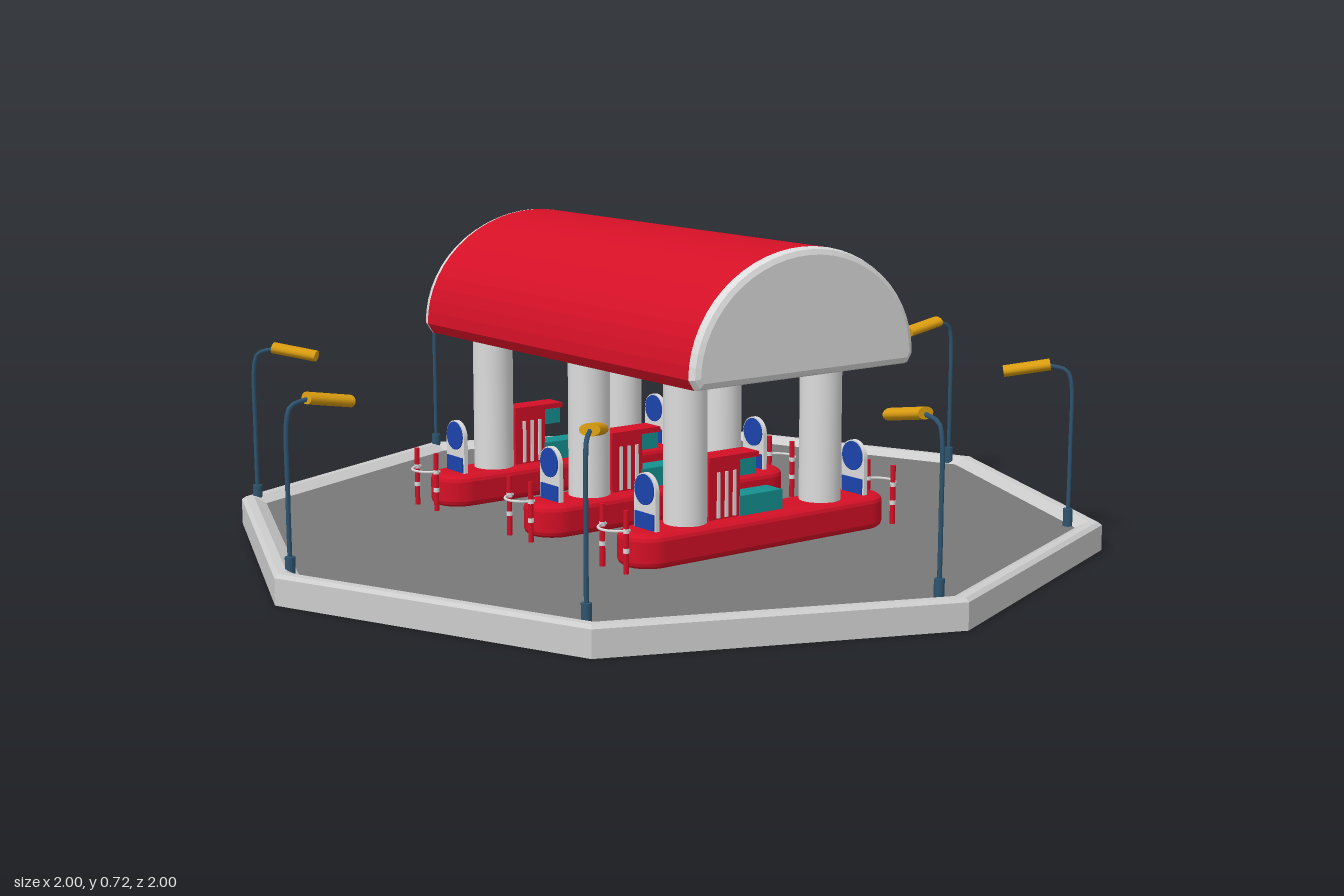
import * as THREE from 'three';

const mat = (name, color, side = THREE.FrontSide) => {
  const m = new THREE.MeshStandardMaterial({ color, side });
  m.name = name;
  return m;
};

export function createModel() {
  const red = mat('red', 0xd41026);
  const white = mat('offWhite', 0xdcdcdc);
  const concrete = mat('concrete', 0xcccccc);
  const asphalt = mat('asphalt', 0x787878, THREE.DoubleSide);
  const gold = mat('gold', 0xd99c10);
  const steel = mat('steelBlue', 0x2f5570);
  const blue = mat('blue', 0x1c44ac);
  const teal = mat('teal', 0x159090);

  const model = new THREE.Group();
  const add = (parent, name, geo, material, x = 0, y = 0, z = 0) => {
    const mesh = new THREE.Mesh(geo, material);
    mesh.name = name;
    mesh.position.set(x, y, z);
    parent.add(mesh);
    return mesh;
  };
  const group = (name, x = 0, y = 0, z = 0) => {
    const g = new THREE.Group();
    g.name = name;
    g.position.set(x, y, z);
    model.add(g);
    return g;
  };
  const box = (w, h, d) => new THREE.BoxGeometry(w, h, d);
  const cyl = (r, h, n = 16) => new THREE.CylinderGeometry(r, r, h, n);

  // Octagonal forecourt: kerb ring with a thin floor inside
  const kerbProfile = [[0.94, 0], [1, 0], [1, 0.058], [0.99, 0.065], [0.97, 0.065], [0.94, 0.05], [0.94, 0]]
    .map(([r, y]) => new THREE.Vector2(r, y));
  const kerb = new THREE.LatheGeometry(kerbProfile, 8).toNonIndexed();
  kerb.computeVertexNormals();
  add(model, 'kerb', kerb, concrete);
  add(model, 'floor', new THREE.CircleGeometry(0.945, 8).rotateX(-Math.PI / 2), asphalt, 0, 0.05, 0);

  // Vaulted roof with bevelled end caps
  const vault = new THREE.Shape();
  vault.moveTo(-0.29, 0.442);
  vault.lineTo(0.29, 0.442);
  vault.lineTo(0.305, 0.465);
  for (let i = 1; i <= 28; i++) {
    const a = (i / 28) * Math.PI;
    vault.lineTo(0.305 * Math.cos(a), 0.465 + 0.253 * Math.sin(a));
  }
  vault.closePath();
  const roof = group('roof', -0.005, 0, -0.005);
  add(roof, 'roofVault', new THREE.ExtrudeGeometry(vault, { depth: 1, bevelEnabled: false }), red, 0, 0, -0.5);
  const capGeo = new THREE.ExtrudeGeometry(vault, {
    depth: 0.004, bevelThickness: 0.018, bevelSize: 0.016, bevelOffset: -0.016, bevelSegments: 2,
  });
  for (const s of [-1, 1]) add(roof, 'roofEndCap', capGeo, white, 0, 0, s * 0.502 - 0.002);

  // Island outline: a bar with round ends
  const stadium = new THREE.Shape();
  stadium.absarc(0.28, 0, 0.065, -Math.PI / 2, Math.PI / 2, false);
  stadium.absarc(-0.3, 0, 0.065, Math.PI / 2, Math.PI * 1.5, false);
  stadium.closePath();
  const islandGeo = new THREE.ExtrudeGeometry(stadium, {
    depth: 0.046, bevelThickness: 0.015, bevelSize: 0.02, bevelOffset: -0.02, bevelSegments: 3, curveSegments: 16,
  }).rotateX(-Math.PI / 2);

  // Arched sign board, thin along x
  const arch = new THREE.Shape();
  arch.moveTo(-0.038, 0);
  arch.lineTo(0.038, 0);
  arch.absarc(0, 0.085, 0.038, 0, Math.PI, false);
  arch.closePath();
  const boardGeo = new THREE.ExtrudeGeometry(arch, { depth: 0.01, bevelEnabled: false })
    .translate(0, 0, -0.005).rotateY(Math.PI / 2);
  const discGeo = cyl(0.033, 0.016, 24).rotateZ(Math.PI / 2);

  // Half-ring guard rail bulging to +x
  const railGeo = new THREE.TorusGeometry(0.042, 0.003, 6, 16, Math.PI).rotateX(Math.PI / 2).rotateY(Math.PI / 2);

  for (const z of [0.345, -0.006, -0.395]) {
    const g = group('pumpIsland', 0, 0, z);
    add(g, 'islandBase', islandGeo, red, 0, 0.0655, 0);
    for (const x of [-0.2, 0.18]) add(g, 'column', cyl(0.047, 0.345, 28), white, x, 0.28, 0);

    // Dispenser cabinet with ribs, counter and screen
    add(g, 'dispenserCabinet', box(0.085, 0.13, 0.05), red, -0.112, 0.188, 0);
    for (let i = 0; i < 3; i++) {
      for (const s of [-1, 1]) add(g, 'cabinetGroove', box(0.008, 0.1, 0.004), white, -0.13 + i * 0.022, 0.18, s * 0.026);
    }
    add(g, 'cabinetTop', box(0.135, 0.012, 0.056), red, -0.088, 0.258, 0);
    add(g, 'screen', box(0.045, 0.036, 0.05), teal, -0.048, 0.233, 0);
    add(g, 'counter', box(0.12, 0.045, 0.055), teal, -0.012, 0.148, 0);

    for (const s of [-1, 1]) {
      // Sign board with blue painted disc and base panel
      const sx = s < 0 ? -0.303 : 0.283;
      add(g, 'signBoard', boardGeo, white, sx, 0.125, 0);
      add(g, 'signDisc', discGeo, blue, sx, 0.212, 0);
      add(g, 'signPanel', box(0.016, 0.035, 0.066), blue, sx, 0.145, 0);

      // Guard rail on two posts
      const px = s < 0 ? -0.388 : 0.363;
      const rail = add(g, 'guardRail', railGeo, white, px + s * -0.01, 0.142, 0);
      if (s < 0) rail.rotation.y = Math.PI;
      for (const k of [-1, 1]) {
        add(g, 'guardPost', cyl(0.006, 0.135, 8), red, px, 0.118, k * 0.042);
        for (const y of [0.1, 0.142]) add(g, 'postBand', cyl(0.0068, 0.01, 8), white, px, y, k * 0.042);
      }
    }
  }

  // Street lamps on the eight corners, each reaching toward the centre (-x before turning)
  const armCurve = new THREE.CatmullRomCurve3([
    [0, 0.06, 0], [0.001, 0.22, 0], [-0.002, 0.385, 0], [-0.012, 0.406, 0], [-0.06, 0.418, 0],
  ].map((p) => new THREE.Vector3(...p)), false, 'centripetal');
  const armGeo = new THREE.TubeGeometry(armCurve, 28, 0.005, 6);
  const headGeo = cyl(0.021, 0.105, 14).rotateZ(Math.PI / 2).scale(1, 0.62, 1);
  for (let i = 0; i < 8; i++) {
    const a = (i * Math.PI) / 4;
    const lamp = group('streetLamp', 0.945 * Math.cos(a) - 0.003, 0, -0.945 * Math.sin(a) - 0.027);
    lamp.rotation.y = a;
    add(lamp, 'lampFoot', cyl(0.011, 0.04, 10), steel, 0, 0.07, 0);
    add(lamp, 'lampPole', armGeo, steel);
    add(lamp, 'lampHead', headGeo, gold, -0.1, 0.41, 0).rotation.z = 0.17;
  }
  return model;
}
